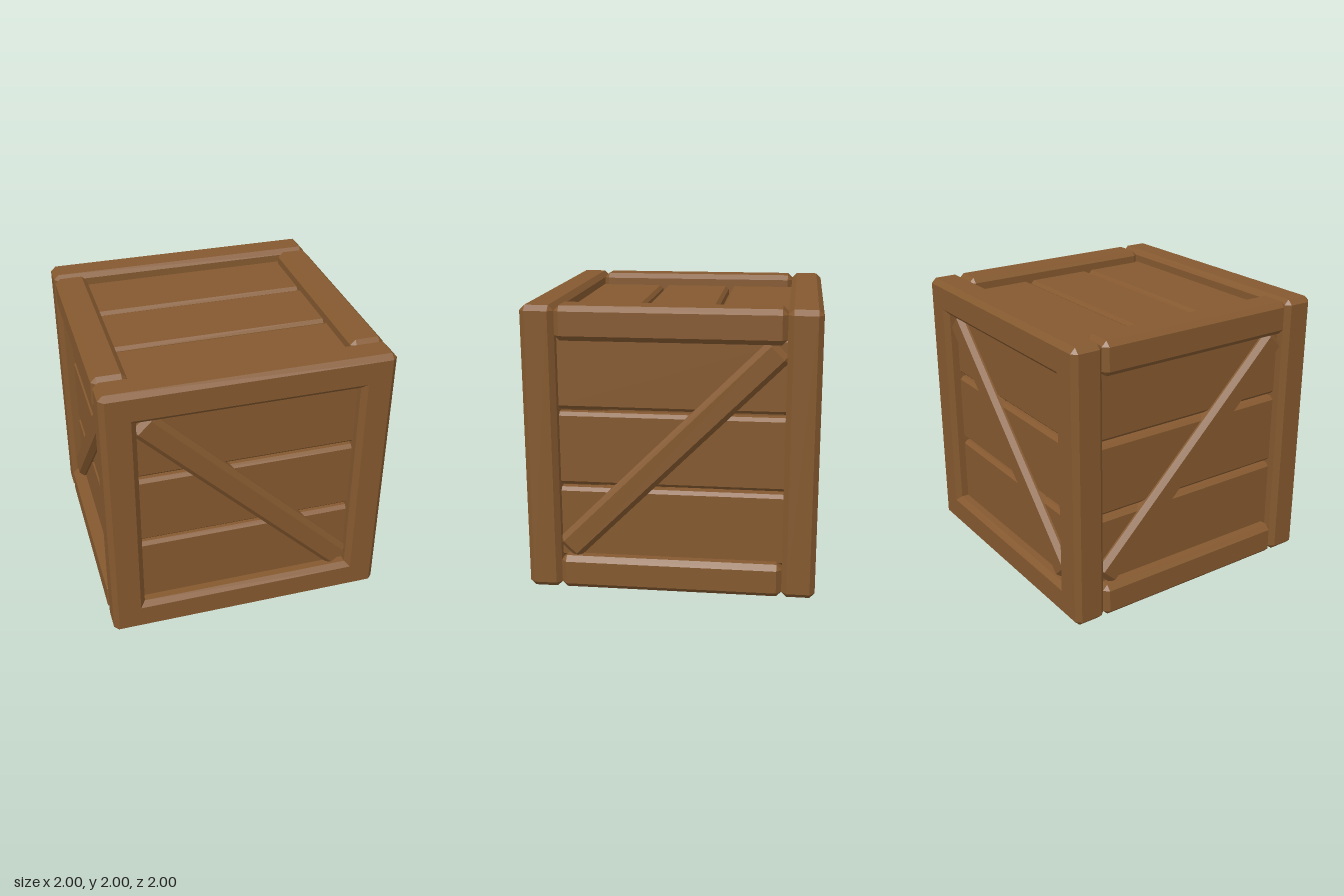
import * as THREE from 'three';
import { ConvexGeometry } from 'three/addons/geometries/ConvexGeometry.js';

const BEVEL = 0.036;
const wood = new THREE.MeshStandardMaterial({ color: 0x85592f, flatShading: true });

// Box with every edge cut at 45 degrees
function chamferBox(w, h, d, c) {
  const pts = [];
  for (const x of [-w / 2, w / 2]) for (const y of [-h / 2, h / 2]) for (const z of [-d / 2, d / 2]) {
    const ix = x - Math.sign(x) * c, iy = y - Math.sign(y) * c, iz = z - Math.sign(z) * c;
    pts.push(new THREE.Vector3(x, iy, iz), new THREE.Vector3(ix, y, iz), new THREE.Vector3(ix, iy, z));
  }
  return new ConvexGeometry(pts);
}

// Square ring with chamfered edges: [corner long side, corner short side, z] per loop
function frameGeometry(outer, inner, z0, z1, c) {
  const o = outer - c, i = inner + c;
  const loops = [
    [o, o, z1], [outer, o, z1 - c], [outer, o, z0 + c], [o, o, z0],
    [i, i, z0], [inner, inner, z0 + c], [inner, inner, z1 - c], [i, i, z1],
  ].map(([a, b, z]) => {
    const ring = [];
    let p = [a, b], q = [b, a];
    for (let k = 0; k < 4; k++) {
      ring.push(new THREE.Vector3(p[0], p[1], z), new THREE.Vector3(q[0], q[1], z));
      p = [-p[1], p[0]];
      q = [-q[1], q[0]];
    }
    return ring;
  });
  const pts = [];
  const tri = (...t) => {
    if (new THREE.Triangle(...t).getArea() > 1e-8) pts.push(...t);
  };
  for (let k = 0; k < 8; k++) for (let j = 0; j < 8; j++) {
    const A = loops[k], B = loops[(k + 1) % 8], n = (j + 1) % 8;
    tri(A[j], B[j], B[n]);
    tri(A[j], B[n], A[n]);
  }
  const geo = new THREE.BufferGeometry().setFromPoints(pts);
  geo.computeVertexNormals();
  return geo;
}

function add(parent, name, geo, x = 0, y = 0, z = 0) {
  const mesh = new THREE.Mesh(geo, wood);
  mesh.name = name;
  mesh.position.set(x, y, z);
  parent.add(mesh);
  return mesh;
}

export function createModel() {
  const crate = new THREE.Group();
  crate.name = 'crate';
  const body = new THREE.Group();
  body.name = 'crateBody';
  body.position.y = 1;
  crate.add(body);

  // Front and back square frames
  const frame = frameGeometry(1, 0.765, 0.77, 1, BEVEL);
  add(body, 'frontFrame', frame);
  add(body, 'backFrame', frame).rotation.y = Math.PI;

  // Four rails joining the frames
  const rail = chamferBox(0.235, 0.235, 1.54, BEVEL);
  for (const sx of [-1, 1]) for (const sy of [-1, 1]) {
    add(body, (sy > 0 ? 'top' : 'bottom') + (sx > 0 ? 'Left' : 'Right') + 'Rail', rail, sx * 0.8825, sy * 0.8825, 0);
  }

  // Six recessed panels of three planks; the four walls carry a diagonal brace
  const plank = chamferBox(1.6, 0.516, 0.1, 0.024);
  const brace = chamferBox(2.076, 0.198, 0.12, BEVEL);
  const H = Math.PI / 2;
  const panels = [
    ['front', 0, 0, -1], ['back', 0, 2 * H, -1], ['left', 0, H, 1],
    ['right', 0, -H, 1], ['top', -H, 0, 0], ['bottom', H, 0, 0],
  ];
  for (const [name, rx, ry, slope] of panels) {
    const panel = new THREE.Group();
    panel.name = name + 'Panel';
    panel.rotation.set(rx, ry, 0);
    for (const k of [-1, 0, 1]) add(panel, 'plank', plank, 0, k * 0.54, 0.86);
    if (slope) add(panel, 'diagonalBrace', brace, 0, 0, 0.9).rotation.z = slope * H / 2;
    body.add(panel);
  }
  return crate;
}
